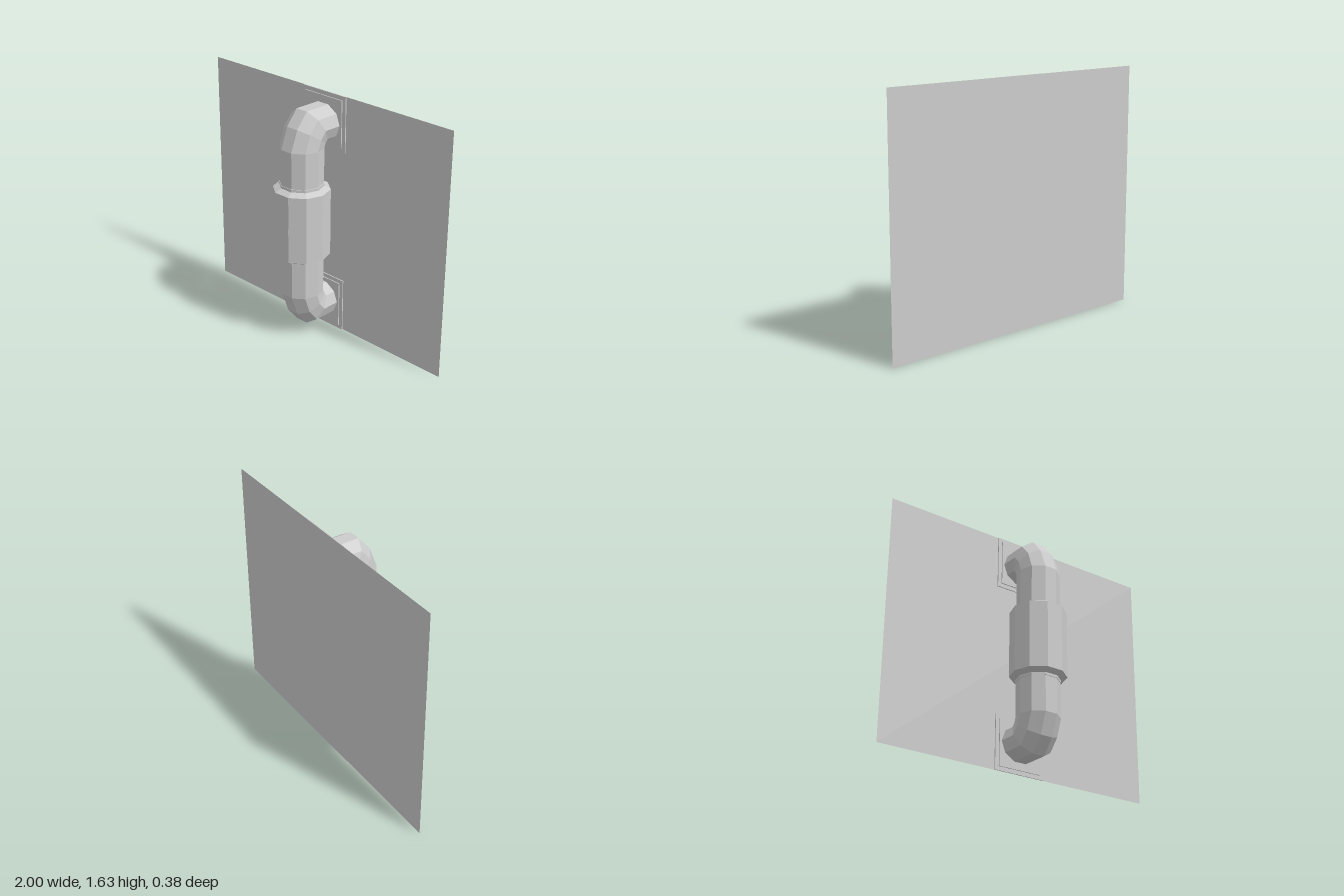
import * as THREE from 'three';

const SIDES = 10;
const HEIGHT = 1.63;
const AXIS_Z = 0.013;
const WALL_Z = -0.188;
const APOTHEM = Math.cos(Math.PI / SIDES);

const material = new THREE.MeshStandardMaterial({ color: 0xcccccc, flatShading: true, side: THREE.DoubleSide });

function addMesh(parent, name, geometry) {
  const mesh = new THREE.Mesh(geometry, material);
  mesh.name = name;
  parent.add(mesh);
  return mesh;
}

// Skins a list of ten-sided rings. Each ring has a half width r and the
// [z, y] middles of its outer and inner facets, so it may be tilted (mitred).
function loft(rings) {
  const positions = [];
  const index = [];
  for (const { r, outer, inner } of rings) {
    for (let k = 0; k < SIDES; k++) {
      const a = ((k + 0.5) / SIDES) * Math.PI * 2;
      const t = (1 + Math.cos(a) / APOTHEM) / 2;
      positions.push(
        r * Math.sin(a),
        THREE.MathUtils.lerp(inner[1], outer[1], t),
        THREE.MathUtils.lerp(inner[0], outer[0], t)
      );
    }
  }
  for (let j = 0; j < rings.length - 1; j++) {
    for (let k = 0; k < SIDES; k++) {
      const a = j * SIDES + k;
      const b = j * SIDES + ((k + 1) % SIDES);
      index.push(a, a + SIDES, b + SIDES, a, b + SIDES, b);
    }
  }
  const geometry = new THREE.BufferGeometry();
  geometry.setAttribute('position', new THREE.Float32BufferAttribute(positions, 3));
  geometry.setIndex(index);
  geometry.computeVertexNormals();
  return geometry;
}

// Level ring around the upright axis
const level = (r, y) => ({
  r,
  outer: [AXIS_Z + r * APOTHEM, y],
  inner: [AXIS_Z - r * APOTHEM, y],
});

const flip = ([z, y]) => [z, HEIGHT - y];
const mirrorRings = (rings) =>
  rings.map(({ r, outer, inner }) => ({ r, outer: flip(outer), inner: flip(inner) })).reverse();

// Jagged zigzag strip that follows the front facets of the collar
function zigzagGeometry(r) {
  const upper = [[-0.15, 0.79], [-0.085, 0.835], [-0.08, 0.8], [-0.03, 0.85], [-0.025, 0.825],
    [0.015, 0.88], [0.02, 0.84], [0.05, 0.855], [0.055, 0.83], [0.09, 0.845], [0.13, 0.815]];
  const lower = [[-0.15, 0.765], [-0.075, 0.775], [-0.07, 0.74], [0.015, 0.8],
    [0.02, 0.76], [0.13, 0.813]];
  const heightAt = (line, x) => {
    const i = Math.max(1, line.findIndex((p) => p[0] >= x));
    const [p, q] = [line[i - 1], line[i]];
    return THREE.MathUtils.mapLinear(x, p[0], q[0], p[1], q[1]);
  };
  const fold = r * Math.sin(Math.PI / SIDES);
  const surface = (x) => {
    const drop = Math.max(0, Math.abs(x) - fold) * Math.tan((2 * Math.PI) / SIDES);
    return AXIS_Z + r * APOTHEM - drop + 0.002;
  };
  const xs = [...new Set([...upper, ...lower].map((p) => p[0]).concat(-fold, fold))].sort((a, b) => a - b);
  const positions = [];
  const index = [];
  xs.forEach((x, i) => {
    positions.push(x, heightAt(upper, x), surface(x), x, heightAt(lower, x), surface(x));
    if (i) {
      const a = 2 * (i - 1);
      index.push(a, a + 1, a + 3, a, a + 3, a + 2);
    }
  });
  const geometry = new THREE.BufferGeometry();
  geometry.setAttribute('position', new THREE.Float32BufferAttribute(positions, 3));
  geometry.setIndex(index);
  geometry.computeVertexNormals();
  return geometry;
}

export function createModel() {
  const model = new THREE.Group();
  model.name = 'wallPipe';

  // Wall panel behind the pipe
  addMesh(model, 'wallPanel', new THREE.PlaneGeometry(2, HEIGHT)).position.set(0, HEIGHT / 2, WALL_Z);

  // Stepped square plates where the pipe meets the wall
  for (const [prefix, y] of [['upper', HEIGHT - 0.183], ['lower', 0.183]]) {
    const plate = new THREE.Group();
    plate.name = prefix + 'WallPlate';
    plate.position.set(0, y, WALL_Z);
    addMesh(plate, 'plateBase', new THREE.BoxGeometry(0.366, 0.366, 0.007)).position.z = 0.0037;
    addMesh(plate, 'plateStep', new THREE.BoxGeometry(0.312, 0.312, 0.007)).position.z = 0.0105;
    model.add(plate);
  }

  // Pipe halves: out of the wall, round a mitred elbow, then upright to the collar
  const r = 0.141;
  const upperPipe = [
    { r, outer: [-0.18, 1.553], inner: [-0.18, 1.319] },
    { r, outer: [0.013, 1.553], inner: [-0.124, 1.319] },
    { r, outer: [0.096, 1.455], inner: [-0.121, 1.316] },
    { r, outer: [0.147, 1.317], inner: [-0.121, 1.311] },
    level(r, 1.07),
  ];
  addMesh(model, 'upperPipe', loft(upperPipe));
  addMesh(model, 'lowerPipe', loft(mirrorRings(upperPipe)));

  // Wide collar with chamfered shoulders and thin end bands
  const collarTop = [level(0.141, 1.08), level(0.144, 1.079), level(0.144, 1.062), level(0.184, 1.04)];
  addMesh(model, 'collar', loft([...collarTop, ...mirrorRings(collarTop)]));

  // Jagged mark on the collar front
  addMesh(model, 'zigzagMark', zigzagGeometry(0.184));

  return model;
}
